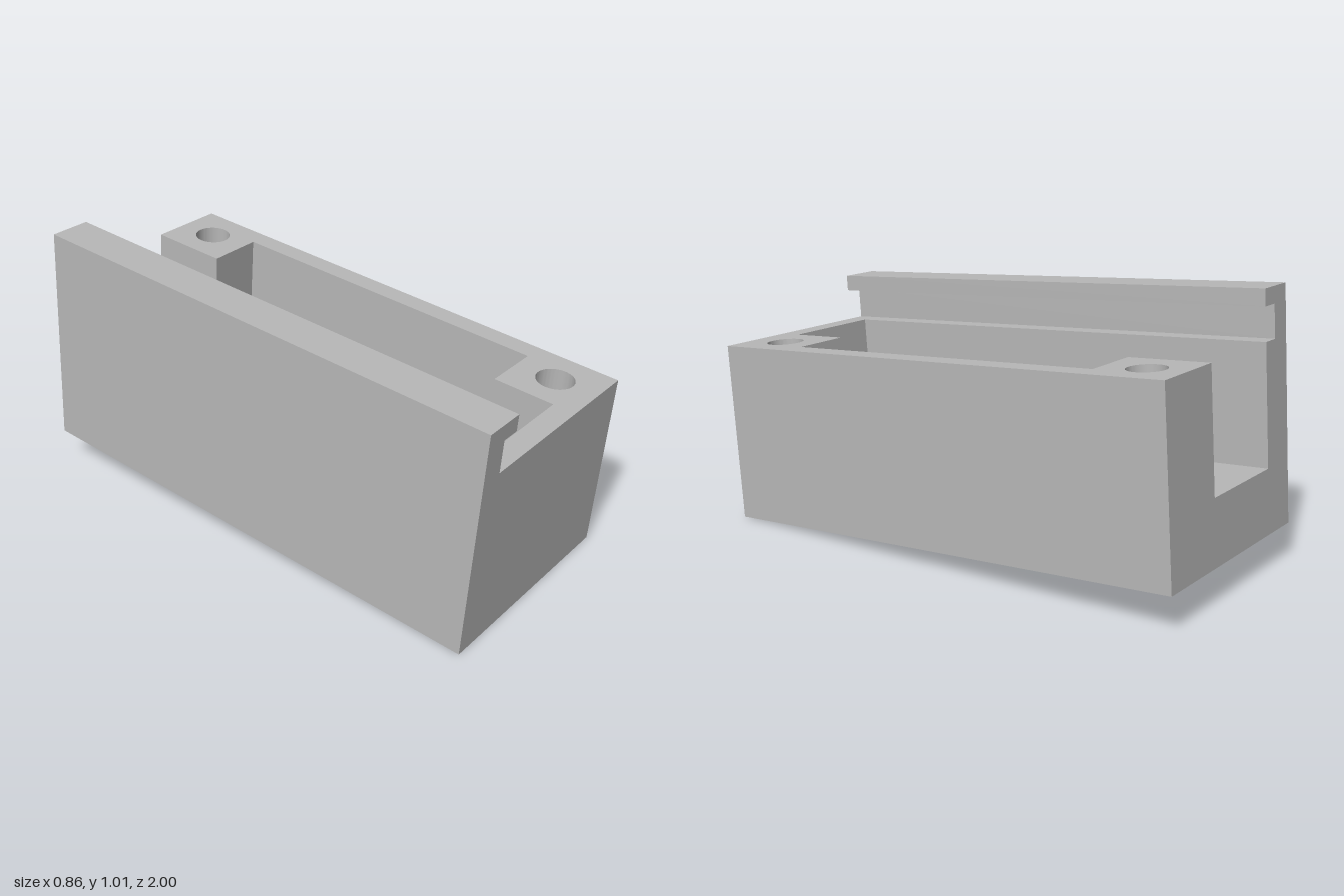
import * as THREE from 'three';
import { toCreasedNormals } from 'three/addons/utils/BufferGeometryUtils.js';

const LENGTH = 1.94;
const HALF = 0.43;

export function createModel() {
  const model = new THREE.Group();
  model.name = 'housing';
  const grey = new THREE.MeshStandardMaterial({ color: 0xb8b8b8 });
  grey.name = 'light grey';

  // Plan outline (x, distance from the front) raised from one height to another
  const layer = (name, points, bottom, top, holes = []) => {
    const shape = new THREE.Shape(points.map(([x, u]) => new THREE.Vector2(x, u)));
    for (const [x, u, r] of holes) {
      const hole = new THREE.Path();
      hole.absarc(x, u, r, 0, Math.PI * 2, true);
      shape.holes.push(hole);
    }
    const geometry = new THREE.ExtrudeGeometry(shape, {
      depth: top - bottom, bevelEnabled: false, curveSegments: 32,
    });
    geometry.rotateX(-Math.PI / 2).translate(0, bottom, 0);
    const mesh = new THREE.Mesh(toCreasedNormals(geometry, 0.5), grey);
    mesh.name = name;
    model.add(mesh);
  };

  const strip = (x0, x1) => [[x0, 0], [x1, 0], [x1, LENGTH], [x0, LENGTH]];

  // Thick floor with two blind holes underneath
  layer('drilledBase', strip(-HALF, HALF), 0, 0.15, [[0.04, 0.555, 0.083], [0.04, 1.385, 0.083]]);
  layer('cavityFloor', strip(-HALF, HALF), 0.15, 0.242);

  // Walls with a screw boss at each end, open at the back
  const walls = [
    [-HALF, 0], [HALF, 0], [HALF, LENGTH], [0.13, LENGTH],
    [0.13, LENGTH - 0.31], [0.35, LENGTH - 0.31], [0.35, 0.32], [0.13, 0.32],
    [0.13, 0.085], [-0.27, 0.085], [-0.27, LENGTH], [-HALF, LENGTH],
  ];
  layer('lowerWalls', walls, 0.242, 0.472);
  layer('drilledWalls', walls, 0.472, 0.692, [[0.28, 0.165, 0.07], [0.28, LENGTH - 0.15, 0.07]]);

  // Raised rail: narrow web beside the groove, overhanging lip on top
  layer('railWeb', strip(-HALF, -0.34), 0.692, 0.815);
  layer('railLip', strip(-HALF, -0.27), 0.815, 0.877);

  // The whole housing tilts up towards the back
  model.rotation.x = 0.0718;
  model.position.z = 0.936;

  const root = new THREE.Group();
  root.name = 'tiltedHousing';
  root.add(model);
  return root;
}
